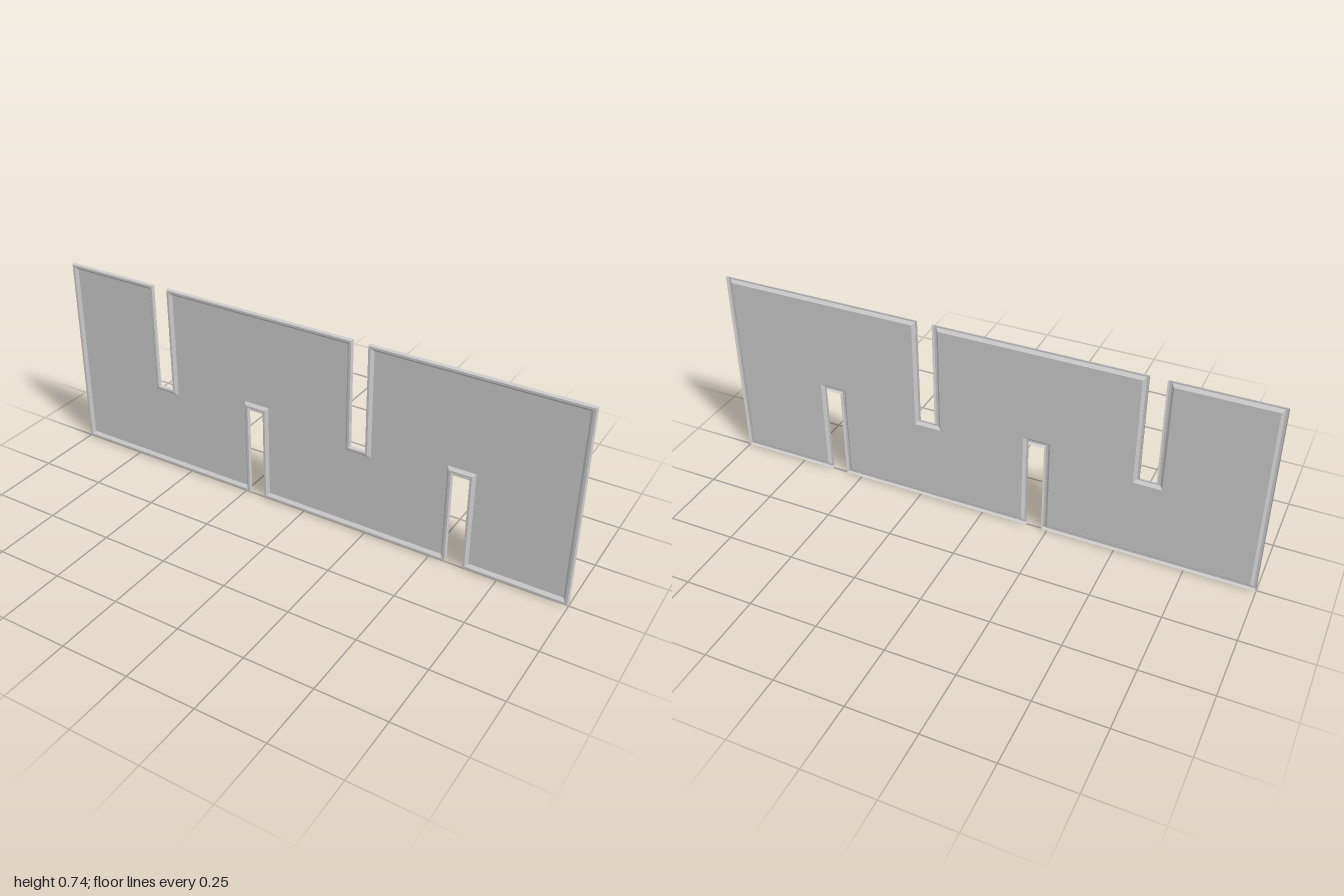
import * as THREE from 'three';

const HEIGHT = 0.738;
const material = new THREE.MeshStandardMaterial({
  color: 0xcccccc, flatShading: true, side: THREE.DoubleSide,
});

// Slots as [left, right, end height]
const bottomSlots = [[-0.228, -0.172, 0.357], [0.564, 0.622, 0.357]];
const topSlots = [[-0.625, -0.568, 0.335], [0.185, 0.24, 0.335]];

// Counter-clockwise outline of the slotted sheet
function outline() {
  const p = [[-1, 0]];
  for (const [l, r, y] of bottomSlots) p.push([l, 0], [l, y], [r, y], [r, 0]);
  p.push([1, 0], [1, HEIGHT]);
  for (const [l, r, y] of [...topSlots].reverse()) {
    p.push([r, HEIGHT], [r, y], [l, y], [l, HEIGHT]);
  }
  p.push([-1, HEIGHT]);
  return p.map(([x, y]) => new THREE.Vector2(x, y));
}

// Move every edge inwards by d, with mitred corners
function inset(points, d) {
  const n = points.length;
  return points.map((p, i) => {
    const a = p.clone().sub(points[(i + n - 1) % n]).normalize();
    const b = points[(i + 1) % n].clone().sub(p).normalize();
    return new THREE.Vector2(p.x - d * (a.y + b.y), p.y + d * (a.x + b.x));
  });
}

// Pressed strip between successive [inset, z] steps of the section
function rimGeometry(points, section) {
  const n = points.length;
  const positions = [], index = [];
  for (const [d, z] of section) {
    for (const p of inset(points, d)) positions.push(p.x, p.y, z);
  }
  for (let s = 0; s < section.length - 1; s++) {
    for (let i = 0; i < n; i++) {
      const j = (i + 1) % n;
      const a = s * n + i, b = s * n + j, c = a + n, e = b + n;
      index.push(a, b, e, a, e, c);
    }
  }
  const g = new THREE.BufferGeometry();
  g.setAttribute('position', new THREE.Float32BufferAttribute(positions, 3));
  g.setIndex(index);
  const flat = g.toNonIndexed();
  flat.computeVertexNormals();
  return flat;
}

export function createModel() {
  const group = new THREE.Group();
  group.name = 'slottedPanel';
  const points = outline();

  // Raised bead along the whole edge, hollow at the back
  const section = [[0, -0.005], [0.004, 0.005], [0.012, 0.005], [0.022, -0.005]];
  const rim = new THREE.Mesh(rimGeometry(points, section), material);
  rim.name = 'rim';
  group.add(rim);

  // Flat sheet inside the bead
  const sheet = new THREE.Mesh(
    new THREE.ShapeGeometry(new THREE.Shape(inset(points, 0.022))), material);
  sheet.name = 'sheet';
  sheet.position.z = -0.005;
  group.add(sheet);

  return group;
}
